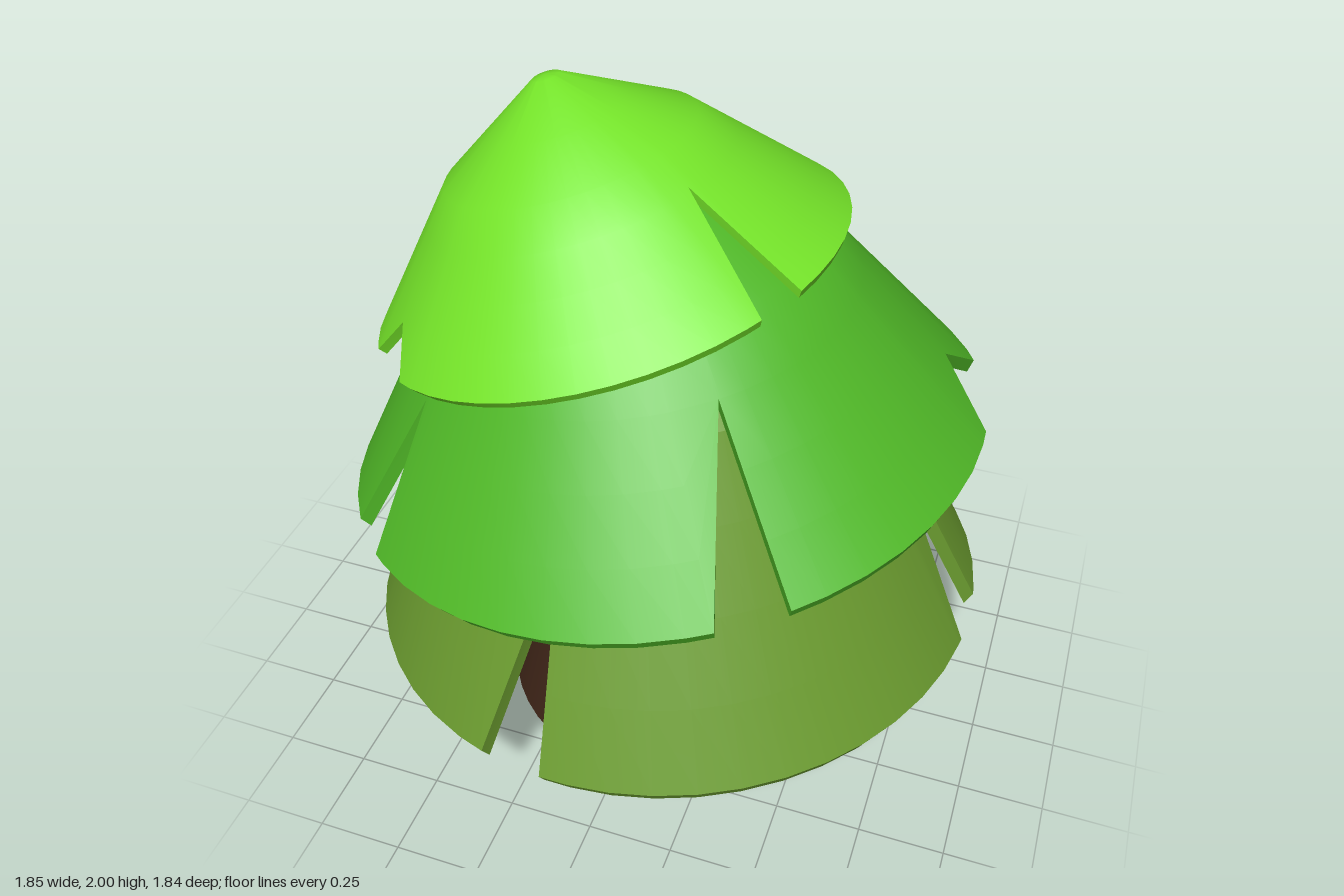
import * as THREE from 'three';
import { toCreasedNormals } from 'three/addons/utils/BufferGeometryUtils.js';

const SEGMENTS = 48;
const ROWS = [0, 0.25, 0.5, 0.75, 1, 1.5, 2, 3];

// Point on a profile: t = 0 at the rim, whole numbers at the profile points
function profileAt(profile, t) {
  const k = Math.min(Math.floor(t), profile.length - 2), f = t - k;
  return [0, 1].map(c => profile[k][c] + (profile[k + 1][c] - profile[k][c]) * f);
}

// Lower edge of the skirt at an angle, raised inside a notch [start, apex, end, depth]
function edgeAt(notches, deg) {
  for (const [start, apex, end, depth] of notches) {
    for (const turn of [-360, 0, 360]) {
      const d = deg + turn;
      if (d >= start && d <= end)
        return depth * (d <= apex ? (d - start) / (apex - start) : (end - d) / (end - apex));
    }
  }
  return 0;
}

// Closed conical shell with straight triangular cuts in its rim;
// the inner shell sits inward and below the outer one by the lip
function skirtGeometry(profile, notches, lip) {
  const cuts = notches.flatMap(n => n.slice(0, 3)).map(a => (a + 360) % 360);
  const angles = [...cuts];
  for (let i = 0; i < SEGMENTS; i++) {
    const a = (i * 360) / SEGMENTS;
    if (edgeAt(notches, a) === 0 && cuts.every(c => Math.abs(c - a) > 0.6)) angles.push(a);
  }
  angles.sort((a, b) => a - b);

  const columns = angles.map(deg => {
    const edge = edgeAt(notches, deg), phi = THREE.MathUtils.degToRad(deg);
    const place = (r, y) => new THREE.Vector3(r * Math.cos(phi), y, r * Math.sin(phi));
    const points = ROWS.map(t => profileAt(profile, Math.max(t, edge)));
    return {
      outer: points.map(([r, y]) => place(r, y)),
      inner: points.map(([r, y]) => place(Math.max(0, r - lip[0]), y - lip[1])),
    };
  });

  const positions = [];
  const tri = (a, b, c) => {
    const area = b.clone().sub(a).cross(c.clone().sub(a)).length();
    if (area > 1e-8) for (const p of [a, b, c]) positions.push(p.x, p.y, p.z);
  };
  const quad = (a, b, c, d) => { tri(a, b, c); tri(a, c, d); };

  columns.forEach((p, i) => {
    const q = columns[(i + 1) % columns.length];
    for (let j = 0; j < ROWS.length - 1; j++) {
      quad(p.outer[j], p.outer[j + 1], q.outer[j + 1], q.outer[j]);
      quad(p.inner[j], q.inner[j], q.inner[j + 1], p.inner[j + 1]);
    }
    quad(p.inner[0], p.outer[0], q.outer[0], q.inner[0]); // rim
  });

  const geometry = new THREE.BufferGeometry();
  geometry.setAttribute('position', new THREE.Float32BufferAttribute(positions, 3));
  return toCreasedNormals(geometry, 0.5);
}

const TIERS = [
  {
    name: 'lowerFoliage', color: 0x6a9a2f, at: [0.015, 0.38], tilt: 3.6, lip: [0.025, 0.042],
    profile: [[0.918, 0.03], [0.52, 0.91], [0.25, 1.08], [0, 1.14]],
    notches: [[95, 95.8, 107, 0.68], [-5.8, -5.3, 6.3, 0.66], [-86, -85.5, -75, 0.7], [-161.5, -151, -140, 0.27]],
  },
  {
    name: 'middleFoliage', color: 0x50b827, at: [-0.02, 0.95], tilt: 9.5, lip: [0.022, 0.035],
    profile: [[0.918, 0.008], [0.51, 0.6], [0.12, 0.85], [0, 0.88]],
    notches: [[51, 51.5, 63.2, 0.75], [131, 132.5, 142.4, 0.64], [-26, -14.3, -3.8, 0.26], [-129, -128.5, -117, 0.8]],
  },
  {
    name: 'topFoliage', color: 0x75e429, at: [-0.178, 1.455], tilt: 17.3, lip: [0.015, 0.022],
    profile: [[0.672, 0.015], [0.35, 0.365], [0.038, 0.56], [0, 0.566]],
    notches: [[21.7, 25, 33.7, 0.785], [125.4, 135, 146.3, 0.28], [-79.5, -79, -67.2, 0.52], [-158.8, -158.2, -146.3, 0.72]],
  },
];

export function createModel() {
  const tree = new THREE.Group();
  tree.name = 'tree';

  // Tapered trunk
  const trunk = new THREE.Mesh(
    new THREE.CylinderGeometry(0.26, 0.53, 1.05, SEGMENTS),
    new THREE.MeshStandardMaterial({ color: 0x3f2518 })
  );
  trunk.name = 'trunk';
  trunk.position.set(0.012, 0.525, 0);
  tree.add(trunk);

  // Three stacked foliage skirts, each leaning further
  for (const { name, color, at, tilt, lip, profile, notches } of TIERS) {
    const tier = new THREE.Mesh(
      skirtGeometry(profile, notches, lip),
      new THREE.MeshStandardMaterial({ color })
    );
    tier.name = name;
    tier.position.set(at[0], at[1], 0);
    tier.rotation.z = THREE.MathUtils.degToRad(tilt);
    tree.add(tier);
  }
  return tree;
}
